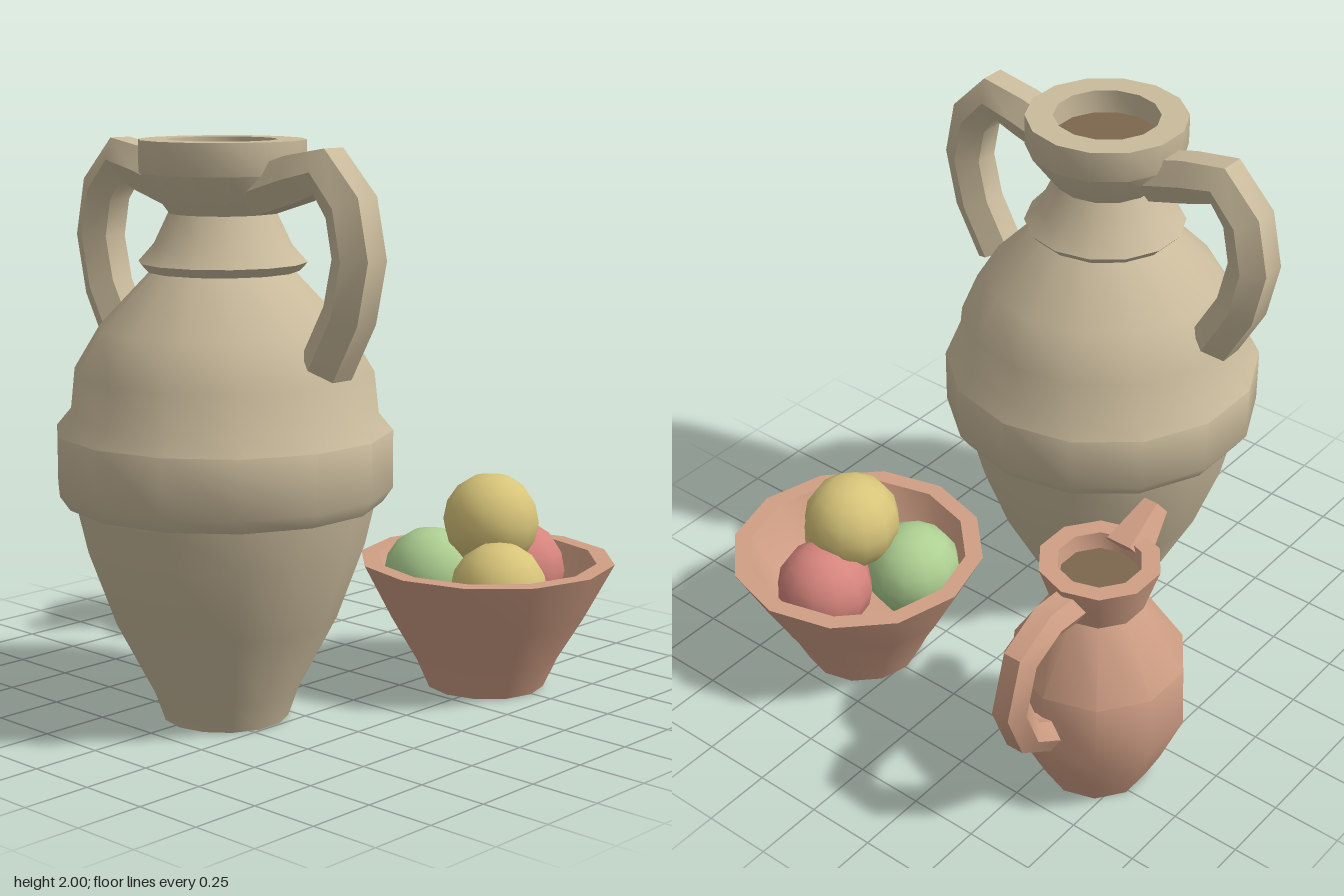
import * as THREE from 'three';
import { toCreasedNormals } from 'three/addons/utils/BufferGeometryUtils.js';

const CREASE = 0.75;

const material = (name, color) => {
  const m = new THREE.MeshStandardMaterial({ color });
  m.name = name;
  return m;
};

function part(name, geometry, mat, parent, position = [0, 0, 0]) {
  const mesh = new THREE.Mesh(geometry, mat);
  mesh.name = name;
  mesh.position.set(...position);
  parent.add(mesh);
  return mesh;
}

// Turned vessel from [radius, height] points, with a corner pointing along x or z
function turned(points, sides, phiStart = 0) {
  const profile = points.map(([r, y]) => new THREE.Vector2(r, y));
  return toCreasedNormals(new THREE.LatheGeometry(profile, sides, phiStart), CREASE);
}

// Closed hexagonal tube with one ring at each path point
function handle(points, radius, sides = 6) {
  const curve = new THREE.CatmullRomCurve3(points.map((p) => new THREE.Vector3(...p)));
  curve.getUtoTmapping = (u) => u;
  const geo = new THREE.TubeGeometry(curve, points.length - 1, radius, sides, false);
  const index = Array.from(geo.index.array);
  const last = (points.length - 1) * (sides + 1);
  for (let k = 1; k < sides - 1; k++) {
    index.push(0, k, k + 1, last, last + k + 1, last + k);
  }
  geo.setIndex(index);
  return toCreasedNormals(geo, CREASE);
}

// Dark surface inside a vessel's mouth
function mouth(radius, sides) {
  return new THREE.CircleGeometry(radius, sides).rotateX(-Math.PI / 2);
}

export function createModel() {
  const root = new THREE.Group();
  root.name = 'stillLife';
  const clay = material('pale clay', 0xcabb9c);
  const terracotta = material('terracotta', 0xd09f85);
  const dark = material('dark inside', 0x7c674e);
  const yellow = material('yellow fruit', 0xd8c57a);
  const red = material('red fruit', 0xd6857d);
  const green = material('green fruit', 0xaed092);

  // Tall two-handled vase
  const vase = new THREE.Group();
  vase.name = 'vase';
  vase.position.set(-0.42, 0, 0.027);
  root.add(vase);
  part('vaseBody', turned([
    [0, 0], [0.22, 0], [0.255, 0.1], [0.39, 0.36], [0.485, 0.62], [0.52, 0.77],
    [0.545, 0.77], [0.58, 0.82], [0.58, 1.02], [0.53, 1.08], [0.515, 1.22],
    [0.425, 1.37], [0.245, 1.56], [0.26, 1.56], [0.288, 1.59], [0.235, 1.65],
    [0.185, 1.755], [0.285, 1.89], [0.285, 2], [0.187, 2], [0.187, 1.91],
  ], 14, Math.PI / 2), clay, vase);
  part('vaseMouth', mouth(0.19, 14), dark, vase, [0, 1.915, 0]);
  for (const side of [1, -1]) {
    const x = side > 0 ? -0.015 : 0.008;
    const path = [
      [0.2, 1.835], [0.37, 1.885], [0.5, 1.915], [0.6, 1.805],
      [0.635, 1.64], [0.595, 1.46], [0.495, 1.28],
    ].map(([z, y]) => [x, y, z * side]);
    part(side > 0 ? 'vaseFrontHandle' : 'vaseBackHandle', handle(path, 0.09), clay, vase);
  }

  // Jug with a spout and one handle
  const jug = new THREE.Group();
  jug.name = 'jug';
  jug.position.set(0.455, 0, -0.622);
  root.add(jug);
  part('jugBody', turned([
    [0, 0], [0.185, 0], [0.235, 0.1], [0.313, 0.29], [0.305, 0.52],
    [0.157, 0.755], [0.21, 0.92], [0.145, 0.92], [0.135, 0.85],
  ], 10, Math.PI / 2), terracotta, jug);
  part('jugMouth', mouth(0.138, 10), dark, jug, [0, 0.86, 0]);
  part('jugHandle', handle([
    [0.13, 0.83, 0], [0.29, 0.84, 0], [0.42, 0.775, 0],
    [0.472, 0.6, 0], [0.41, 0.44, 0], [0.27, 0.345, 0],
  ], 0.066), terracotta, jug);
  const spout = part('jugSpout',
    toCreasedNormals(new THREE.CylinderGeometry(0.052, 0.095, 0.19, 6), CREASE),
    terracotta, jug, [-0.235, 0.9, 0.005]);
  spout.rotation.z = 1.01;

  // Bowl with a thick rim and hollow inside
  const bowl = new THREE.Group();
  bowl.name = 'fruitBowl';
  bowl.position.set(0.495, 0, 0.45);
  root.add(bowl);
  part('bowl', turned([
    [0, 0], [0.215, 0], [0.265, 0.11], [0.36, 0.27], [0.465, 0.47],
    [0.4, 0.47], [0.33, 0.32], [0.23, 0.2], [0, 0.18],
  ], 12), terracotta, bowl);

  // Fruit heaped in the bowl
  const fruits = [
    ['topYellowFruit', yellow, [0.02, 0.605, 0.002]],
    ['lowYellowFruit', yellow, [-0.12, 0.395, 0.155]],
    ['redFruit', red, [0.183, 0.4, 0]],
    ['greenFruit', green, [-0.1, 0.395, -0.18]],
  ];
  for (const [name, mat, position] of fruits) {
    part(name, new THREE.SphereGeometry(0.175, 12, 8), mat, bowl, position);
  }
  return root;
}
